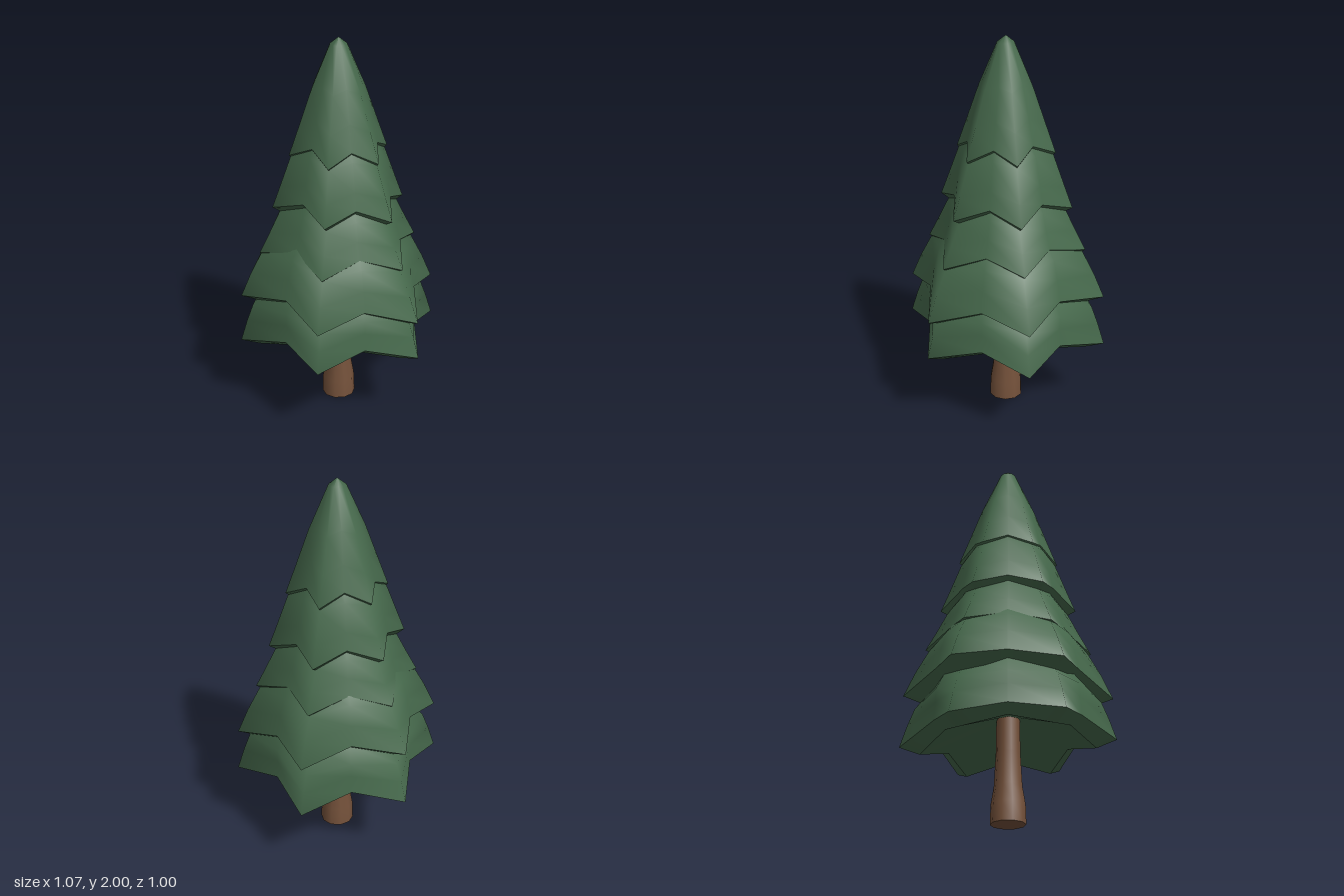
import * as THREE from 'three';

const POINTS = 6;               // branch tips per tier
const SIDES = POINTS * 2;       // tips alternate with valleys
const TWIST = THREE.MathUtils.degToRad(-8.5);

// Star ring: odd corners are valleys, pulled in by `ratio` and raised by `lift`.
function starRing({ r, y, ratio, lift }, [tiltX, tiltZ]) {
  const ring = [];
  for (let i = 0; i < SIDES; i++) {
    const a = TWIST + (i / SIDES) * Math.PI * 2;
    const valley = i % 2 === 1;
    const rad = valley ? r * ratio : r;
    const x = rad * Math.cos(a), z = rad * Math.sin(a);
    ring.push([x, y + (valley ? lift : 0) + tiltX * x + tiltZ * z, z]);
  }
  return ring;
}

// Skin a list of rings running from top to bottom on the outside.
function loft(rings) {
  const index = [];
  for (let j = 0; j < rings.length - 1; j++) {
    for (let i = 0; i < SIDES; i++) {
      const n = (i + 1) % SIDES;
      const a = j * SIDES + i, b = j * SIDES + n;
      const c = a + SIDES, d = b + SIDES;
      index.push(a, b, c, b, d, c);
    }
  }
  const geometry = new THREE.BufferGeometry();
  geometry.setAttribute('position', new THREE.Float32BufferAttribute(rings.flat(2), 3));
  geometry.setIndex(index);
  geometry.computeVertexNormals();
  return geometry;
}

// Each tier: [radius, height] from rim to top, with a slight lean.
const TIERS = [
  { name: 'bottomTier', tilt: [0.02, 0.03], profile: [[0.54, 0.41], [0.505, 0.52], [0.47, 0.61], [0.38, 0.72]] },
  { name: 'lowerTier', tilt: [-0.065, 0.03], profile: [[0.53, 0.655], [0.475, 0.78], [0.41, 0.9], [0.3, 1.02]] },
  { name: 'middleTier', tilt: [-0.05, 0.0], profile: [[0.425, 0.905], [0.37, 1.01], [0.315, 1.12], [0.22, 1.25]] },
  { name: 'upperTier', tilt: [-0.04, 0.03], profile: [[0.352, 1.14], [0.31, 1.25], [0.25, 1.41], [0.15, 1.55]] },
  { name: 'topTier', tilt: [-0.04, 0.0], profile: [[0.26, 1.42], [0.205, 1.57], [0.14, 1.75], [0.045, 1.966], [0.001, 2]] },
];
const RATIOS = [0.76, 0.8, 0.86, 0.95, 1];
const LIFTS = [0.06, 0.045, 0.025, 0, 0];

function makeTier({ name, tilt, profile }, material) {
  const tier = new THREE.Group();
  tier.name = name;

  // Outer foliage
  const rings = profile.map(([r, y], k) =>
    starRing({ r, y, ratio: RATIOS[k], lift: LIFTS[k] }, tilt)).reverse();
  const foliage = new THREE.Mesh(loft(rings), material);
  foliage.name = name + 'Foliage';

  // Rim lip turning inward and down
  const [r, y] = profile[0];
  const rim = rings[rings.length - 1];
  const lipRing = starRing({ r: r * 0.81, y: y - 0.04, ratio: 0.8, lift: 0.06 }, tilt);
  const lip = new THREE.Mesh(loft([rim, lipRing]), material);
  lip.name = name + 'Lip';

  // Hollow underside rising to the trunk
  const centre = starRing({ r: 0.01, y: y + 0.14, ratio: 1, lift: 0 }, [0, 0]);
  const under = new THREE.Mesh(loft([lipRing, centre]), material);
  under.name = name + 'Underside';

  tier.add(foliage, lip, under);
  return tier;
}

export function createModel() {
  const green = new THREE.MeshStandardMaterial({ color: 0x46694c });
  green.name = 'needle green';
  const brown = new THREE.MeshStandardMaterial({ color: 0x75523b });
  brown.name = 'bark brown';

  const tree = new THREE.Group();
  tree.name = 'pineTree';

  // Trunk with a flared foot
  const trunkProfile = [[0.088, 0], [0.085, 0.1], [0.07, 0.19], [0.061, 0.36], [0.058, 0.6]]
    .map(([r, y]) => new THREE.Vector2(r, y));
  const trunk = new THREE.Mesh(new THREE.LatheGeometry(trunkProfile, 10), brown);
  trunk.name = 'trunk';
  const foot = new THREE.Mesh(new THREE.CircleGeometry(0.088, 10, Math.PI / 2).rotateX(Math.PI / 2), brown);
  foot.name = 'trunkBase';
  tree.add(trunk, foot);

  for (const tier of TIERS) tree.add(makeTier(tier, green));
  return tree;
}
